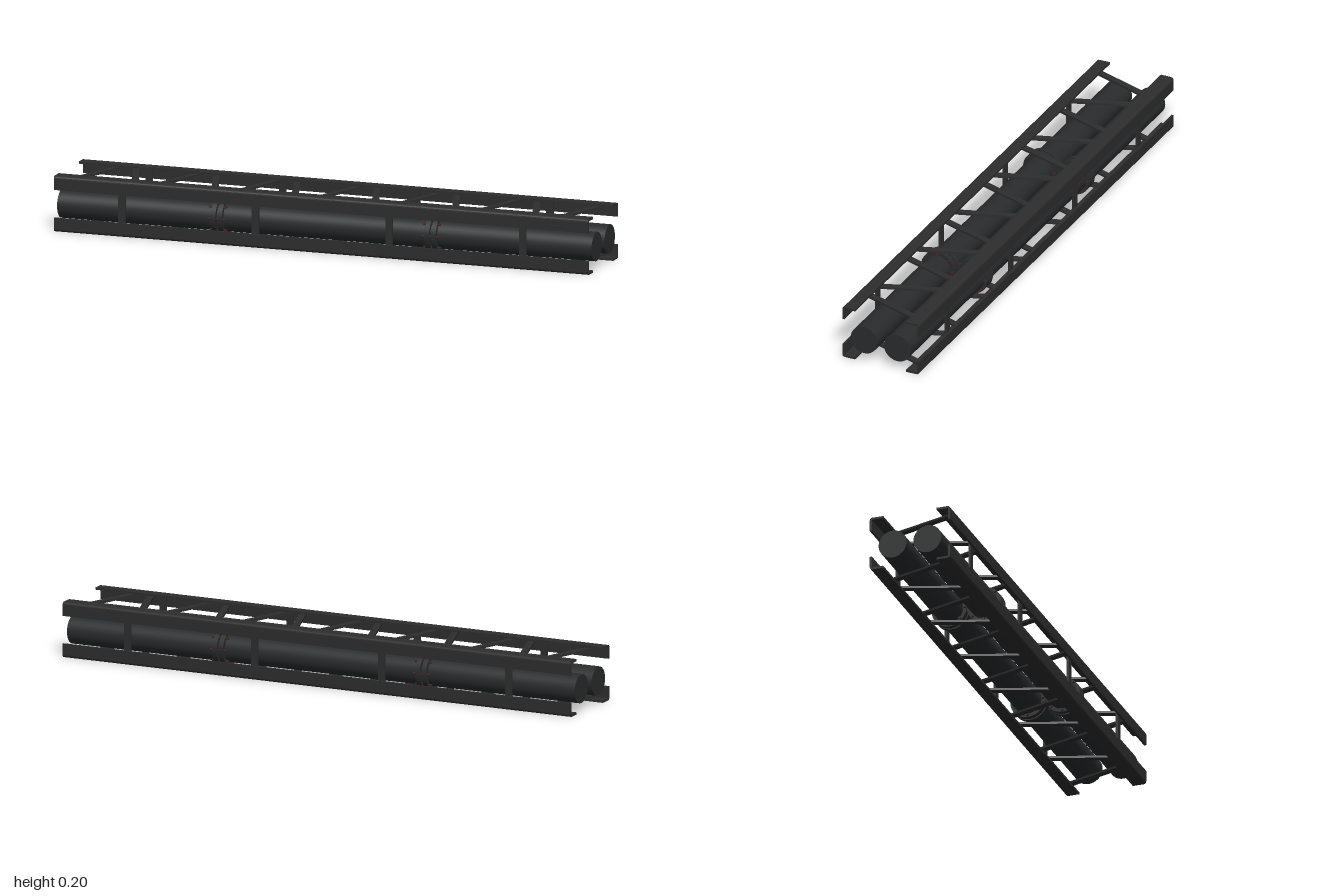
import * as THREE from 'three';

const steel = new THREE.MeshStandardMaterial({ color: 0x2d2d2e });
steel.name = 'dark steel';
const pipeMat = new THREE.MeshStandardMaterial({ color: 0x292b2c });
pipeMat.name = 'pipe grey';
const boltMat = new THREE.MeshStandardMaterial({ color: 0x4a2423 });
boltMat.name = 'rusty bolt';

function add(parent, name, geometry, material, x = 0, y = 0, z = 0) {
  const mesh = new THREE.Mesh(geometry, material);
  mesh.name = name;
  mesh.position.set(x, y, z);
  parent.add(mesh);
  return mesh;
}

// L-section with a rounded outer corner, run along x; sy and sz pick the corner
function railGeometry(sy, sz) {
  const H = 0.1, W = 0.15, leg = 0.05, t = 0.008, r = 0.01;
  const pts = [[W - leg, H], [W - r, H]];
  for (let i = 1; i <= 4; i++) {
    const a = (i / 4) * Math.PI / 2;
    pts.push([W - r + r * Math.sin(a), H - r + r * Math.cos(a)]);
  }
  pts.push([W, H - leg], [W - t, H - leg], [W - t, H - t], [W - leg, H - t]);
  // shape x maps to -z after the quarter turn
  const shape = new THREE.Shape(pts.map(([z, y]) => new THREE.Vector2(-z * sz, y * sy + 0.1)));
  const g = new THREE.ExtrudeGeometry(shape, { depth: 2, bevelEnabled: false });
  return g.translate(0, 0, -1).rotateY(Math.PI / 2);
}

export function createModel() {
  const model = new THREE.Group();
  model.name = 'pipeRack';

  // Corner rails
  for (const sy of [-1, 1]) for (const sz of [-1, 1])
    add(model, `${sy > 0 ? 'upper' : 'lower'}${sz > 0 ? 'Front' : 'Back'}Rail`, railGeometry(sy, sz), steel);

  // Upright flats on both sides
  const upright = new THREE.BoxGeometry(0.026, 0.184, 0.008);
  for (const x of [-0.75, -0.25, 0.25, 0.75]) for (const sz of [-1, 1])
    add(model, 'upright', upright, steel, x, 0.1, sz * 0.136);

  // Zigzag lacing across the top and bottom
  const run = 0.09, span = 0.264;
  const lace = new THREE.BoxGeometry(0.024, 0.008, Math.hypot(run, span));
  for (const y of [0.014, 0.186]) for (let i = 0; i < 13; i++) {
    const bar = add(model, 'lacingBar', lace, steel, -0.9 + i * 0.15, y, 0);
    bar.rotation.y = (i % 2 ? 1 : -1) * Math.atan2(run, span);
  }

  // Twin pipes with bolted flange joints
  const pipeGeo = new THREE.CylinderGeometry(0.052, 0.052, 2, 32).rotateZ(Math.PI / 2);
  const flangeGeo = new THREE.CylinderGeometry(0.065, 0.065, 0.018, 32).rotateZ(Math.PI / 2);
  const boltGeo = new THREE.CylinderGeometry(0.0045, 0.0045, 0.064, 6).rotateZ(Math.PI / 2);
  for (const z of [-0.065, 0.065]) {
    const line = new THREE.Group();
    line.name = z > 0 ? 'frontPipeLine' : 'backPipeLine';
    line.position.set(0, 0.086, z);
    model.add(line);
    add(line, 'pipe', pipeGeo, pipeMat);
    for (const x of [-0.4, 0.4]) {
      for (const s of [-1, 1]) add(line, 'flange', flangeGeo, pipeMat, x + s * 0.0125);
      for (let i = 0; i < 8; i++) {
        const a = i * Math.PI / 4;
        add(line, 'flangeBolt', boltGeo, boltMat, x, 0.0585 * Math.cos(a), 0.0585 * Math.sin(a));
      }
    }
  }
  return model;
}
